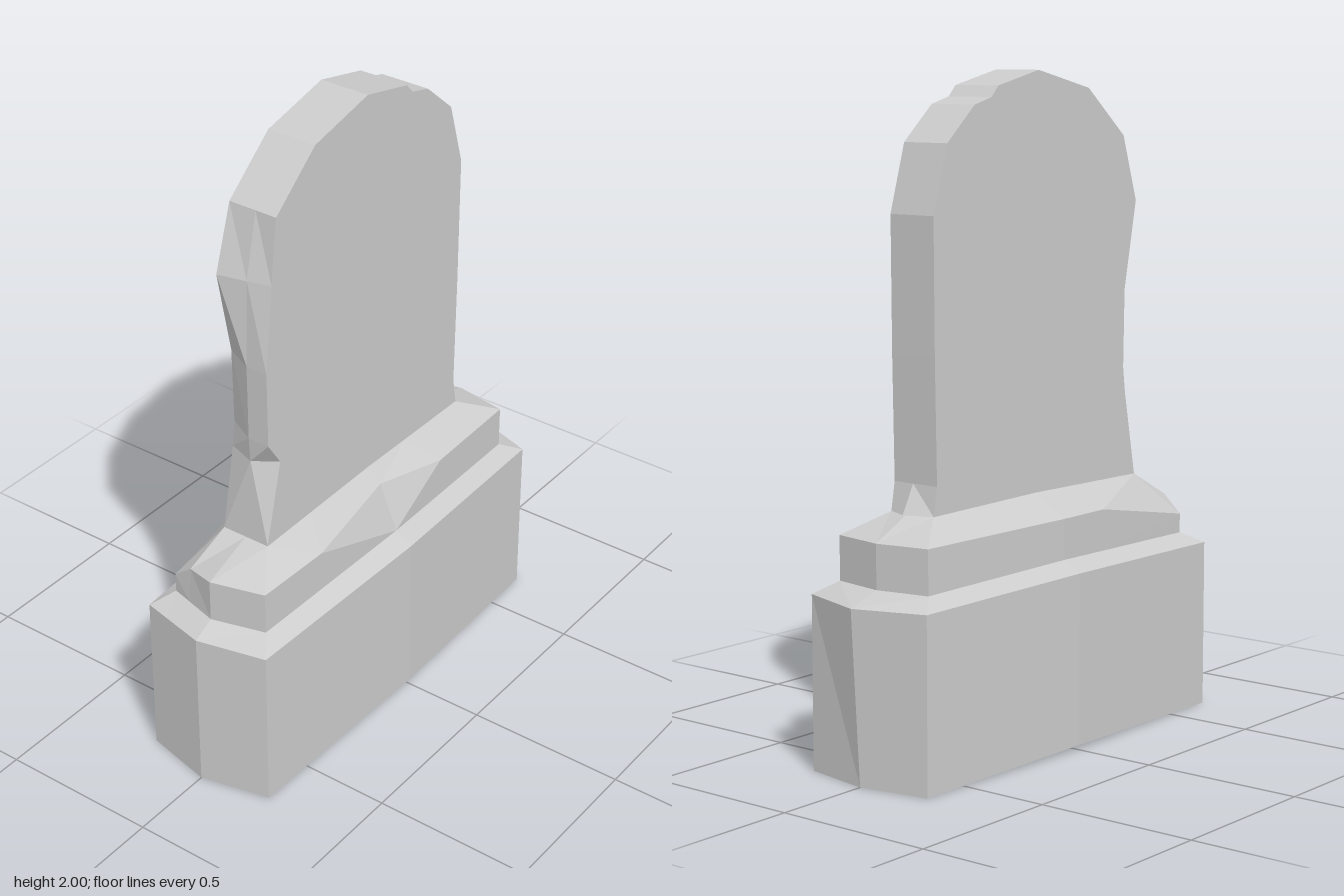
import * as THREE from 'three';

const material = new THREE.MeshStandardMaterial({ color: 0xcccccc, flatShading: true });

function meshFrom(name, tris) {
  const geometry = new THREE.BufferGeometry().setFromPoints(tris);
  geometry.computeVertexNormals();
  const mesh = new THREE.Mesh(geometry, material);
  mesh.name = name;
  return mesh;
}

// Triangles between consecutive closed loops, splitting each quad on its shorter diagonal
function skin(loops) {
  const tris = [];
  for (let k = 0; k + 1 < loops.length; k++) {
    const a = loops[k], b = loops[k + 1], n = a.length;
    for (let i = 0; i < n; i++) {
      const j = (i + 1) % n;
      if (a[i].distanceTo(b[j]) < a[j].distanceTo(b[i])) tris.push(a[i], a[j], b[j], a[i], b[j], b[i]);
      else tris.push(a[i], a[j], b[i], a[j], b[j], b[i]);
    }
  }
  return tris;
}

// Triangles filling a loop, optionally flipped
function cap(loop, toFlat, flip) {
  const tris = [];
  for (const [a, b, c] of THREE.ShapeUtils.triangulateShape(loop.map(toFlat), [])) {
    tris.push(loop[a], loop[flip ? c : b], loop[flip ? b : c]);
  }
  return tris;
}

// Horizontal outline with pointed ends and bowed long sides, counterclockwise from above
function ring({ y, yMid, left, cornerL, cornerR, right, zCorner, zMid }) {
  const v = (x, h, z) => new THREE.Vector3(x, h, z);
  const endL = v(left, y, 0), endR = v(right, y, 0);
  const frontL = v(cornerL, y, zCorner), frontR = v(cornerR, y, zCorner);
  const backL = v(cornerL, y, -zCorner), backR = v(cornerR, y, -zCorner);
  const front = v(0, yMid, zMid), back = v(0, yMid, -zMid);
  return [
    endL, frontL, front.clone().lerp(frontL, 0.585), front, front.clone().lerp(frontR, 0.41), frontR,
    endR, backR, back, back.clone().lerp(backL, 0.325), backL, endL.clone().lerp(backL, 0.6),
  ];
}

function createBase() {
  const plinth = { left: -0.73, cornerL: -0.68, cornerR: 0.655, zCorner: 0.217, zMid: 0.243 };
  const tier = { left: -0.66, cornerL: -0.615, cornerR: 0.59, right: 0.62, zCorner: 0.167, zMid: 0.187 };
  const rings = [
    ring({ ...plinth, y: 0, yMid: 0.014, right: 0.695 }),
    ring({ ...plinth, y: 0.52, yMid: 0.533, right: 0.727 }),
    ring({ ...tier, y: 0.555, yMid: 0.567 }),
    ring({ ...tier, y: 0.688, yMid: 0.69 }),
    ring({ y: 0.75, yMid: 0.757, left: -0.49, cornerL: -0.49, cornerR: 0.465, right: 0.495, zCorner: 0.08, zMid: 0.08 }),
  ];
  // Chips in the tier: middle of the front edge and the back left corner
  const edge = rings[3];
  edge[3].set(0, 0.715, 0.127);
  edge[10].set(-0.615, 0.615, -0.168);
  edge[11].set(-0.625, 0.67, -0.1);

  const flat = (p) => new THREE.Vector2(p.x, -p.z);
  return meshFrom('steppedBase', [
    ...skin(rings), ...cap(rings[0], flat, true), ...cap(rings[4], flat, false),
  ]);
}

function createStone() {
  // Worn outline, counterclockwise from the front: [y, front x, middle x, back x]
  const outline = [
    [0.75, 0.465, 0.495, 0.465], [0.835, 0.45, 0.45, 0.45], [1.2, 0.457, 0.457, 0.457],
    [1.6, 0.46, 0.46, 0.46], [1.8, 0.4, 0.4, 0.4], [1.905, 0.28, 0.28, 0.28],
    [1.925, 0.205, 0.205, 0.205], [1.957, 0.175, 0.175, 0.175], [2.0, -0.01, -0.01, -0.01],
    [1.945, -0.25, -0.25, -0.25], [1.8, -0.425, -0.425, -0.425], [1.6, -0.45, -0.47, -0.49],
    [1.33, -0.48, -0.48, -0.435], [1.09, -0.478, -0.478, -0.43], [1.01, -0.425, -0.473, -0.44],
    [0.75, -0.49, -0.49, -0.49],
  ];
  const loops = [-0.08, 0.01, 0.08].map((z, k) =>
    outline.map((row) => new THREE.Vector3(row[3 - k], row[0], z)));
  const flat = (p) => new THREE.Vector2(p.x, p.y);
  return meshFrom('headstoneSlab', [
    ...skin(loops), ...cap(loops[0], flat, true), ...cap(loops[2], flat, false),
  ]);
}

export function createModel() {
  const group = new THREE.Group();
  group.name = 'gravestone';
  group.add(createBase(), createStone());
  return group;
}
